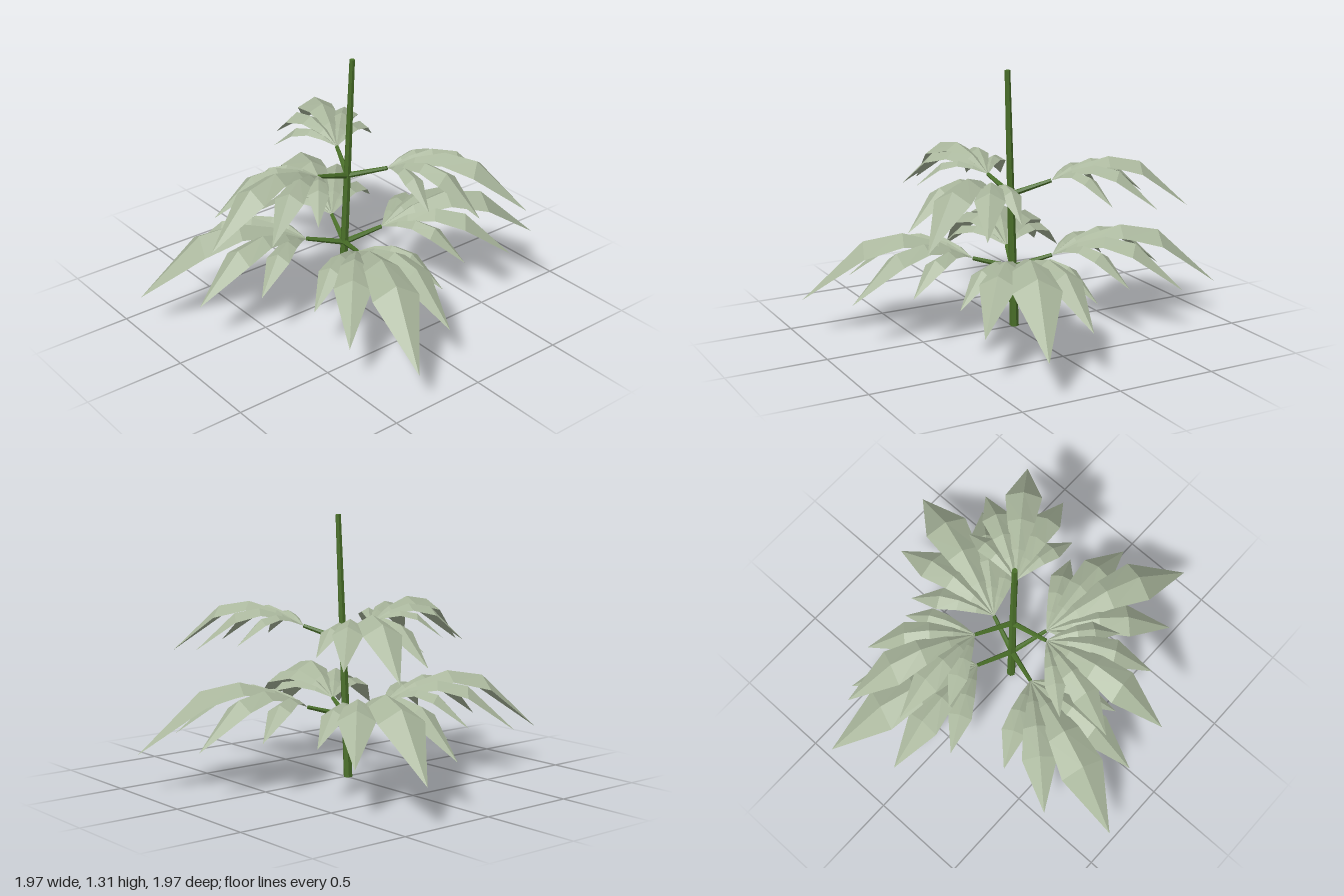
import * as THREE from 'three';

const leafMat = new THREE.MeshStandardMaterial({ color: 0xa9b69c, side: THREE.DoubleSide });
leafMat.name = 'sage leaf';
const stemMat = new THREE.MeshStandardMaterial({ color: 0x4a7029 });
stemMat.name = 'green stem';

const rad = THREE.MathUtils.degToRad;

// Flat-faced copy of a geometry
function faceted(geo) {
  const g = geo.index ? geo.toNonIndexed() : geo;
  g.computeVertexNormals();
  return g;
}

// Unit-long leaflet along +x: a ridged, arched blade.
// Each row: distance, ridge height, half width, drop of the edges.
function leafletGeometry() {
  const rows = [
    [0, 0, 0, 0],
    [0.2, 0.11, 0.055, 0.035],
    [0.41, 0.17, 0.1, 0.06],
    [0.64, 0.13, 0.135, 0.075],
    [1, -0.21, 0, 0],
  ];
  const pos = [], index = [];
  for (const [x, y, w, d] of rows) pos.push(x, y - d, -w, x, y, 0, x, y - d, w);
  for (let r = 0; r < rows.length - 1; r++) {
    for (let s = 0; s < 2; s++) {
      const a = r * 3 + s, b = a + 1, c = a + 3, d = a + 4;
      if (r > 0) index.push(a, b, c);
      if (r === 0) index.push(a, d, c);
      else if (r < rows.length - 2) index.push(b, d, c);
    }
  }
  const g = new THREE.BufferGeometry();
  g.setAttribute('position', new THREE.Float32BufferAttribute(pos, 3));
  g.setIndex(index);
  return faceted(g);
}

// Tapered six-sided rod between two points
function rod(name, from, to, r0, r1) {
  const dir = to.clone().sub(from);
  const mesh = new THREE.Mesh(faceted(new THREE.CylinderGeometry(r1, r0, dir.length(), 6)), stemMat);
  mesh.position.copy(from).addScaledVector(dir, 0.5);
  mesh.quaternion.setFromUnitVectors(new THREE.Vector3(0, 1, 0), dir.normalize());
  mesh.name = name;
  return mesh;
}

export function createModel() {
  const model = new THREE.Group();
  model.name = 'plant';

  // Slightly leaning main stem
  model.add(rod('stem', new THREE.Vector3(-0.012, 0, 0.004), new THREE.Vector3(0.038, 1.31, -0.018), 0.023, 0.014));

  const leaflet = leafletGeometry();
  // Leaflets of one hand-shaped leaf: spread angle and length
  const fan = [[0, 0.85], [22, 0.66], [-22, 0.66], [45, 0.46], [-45, 0.46]];

  // Whorls of leaves: four below, three above
  const whorls = [
    { name: 'lowerLeaf', count: 4, start: 20, x: 0, y: 0.31, z: 0, rise: 0.055, scale: 1 },
    { name: 'upperLeaf', count: 3, start: 83, x: 0.014, y: 0.69, z: -0.01, rise: 0.065, scale: 0.81 },
  ];
  for (const w of whorls) {
    for (let i = 0; i < w.count; i++) {
      const leaf = new THREE.Group();
      leaf.name = w.name + (i + 1);
      leaf.position.set(w.x, w.y, w.z);
      leaf.rotation.y = -rad(w.start + (i * 360) / w.count);
      const tip = new THREE.Vector3(0.2, w.rise, 0);
      leaf.add(rod('leafStalk', new THREE.Vector3(0, 0, 0), tip, 0.015, 0.01));
      for (const [angle, length] of fan) {
        const blade = new THREE.Mesh(leaflet, leafMat);
        blade.name = 'leaflet';
        blade.position.copy(tip);
        blade.rotation.y = -rad(angle);
        blade.scale.setScalar(length * w.scale);
        leaf.add(blade);
      }
      model.add(leaf);
    }
  }
  return model;
}
